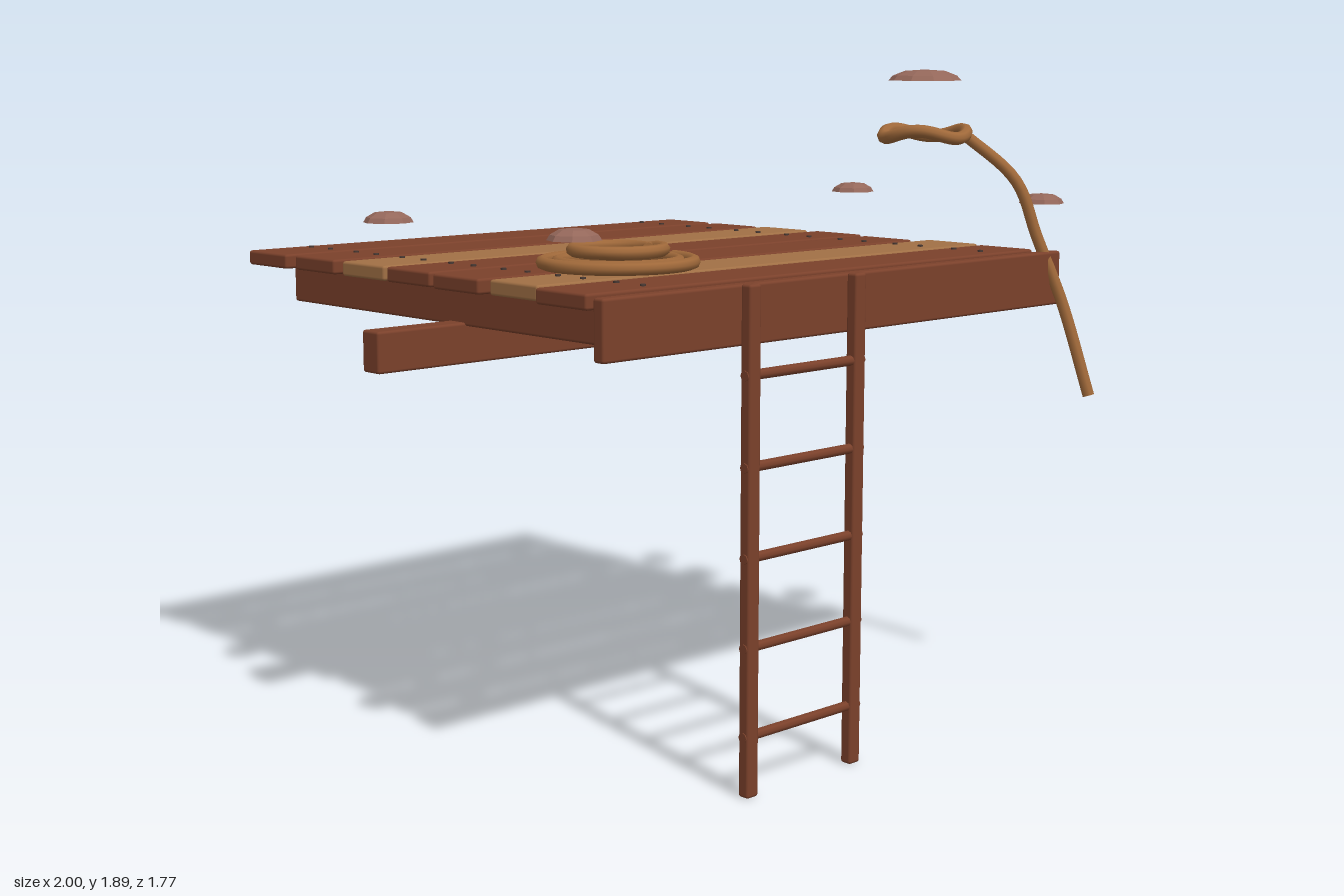
import * as THREE from 'three';
import { RoundedBoxGeometry } from 'three/addons/geometries/RoundedBoxGeometry.js';

const darkWood = new THREE.MeshStandardMaterial({ name: 'dark wood', color: 0x7b412b });
const paleWood = new THREE.MeshStandardMaterial({ name: 'pale wood', color: 0xa17045 });
const ropeMat = new THREE.MeshStandardMaterial({ name: 'rope', color: 0xa0693a });
const nailMat = new THREE.MeshStandardMaterial({ name: 'nail iron', color: 0x4a3a34 });
const capMat = new THREE.MeshStandardMaterial({
  name: 'cap clay', color: 0x94675a, flatShading: true, side: THREE.DoubleSide,
});

export function createModel() {
  const model = new THREE.Group();
  model.name = 'ropePlatform';

  function add(parent, name, geometry, material, x = 0, y = 0, z = 0) {
    const mesh = new THREE.Mesh(geometry, material);
    mesh.name = name;
    mesh.position.set(x, y, z);
    parent.add(mesh);
    return mesh;
  }

  // Softly bevelled timber given by its extents
  function timber(parent, name, [x0, x1], [y0, y1], [z0, z1], material = darkWood) {
    const geometry = new RoundedBoxGeometry(x1 - x0, y1 - y0, z1 - z0, 2, 0.008);
    return add(parent, name, geometry, material, (x0 + x1) / 2, (y0 + y1) / 2, (z0 + z1) / 2);
  }

  // Deck planks: left end, right end, z centre at left, z centre at right, material
  const planks = [
    [-0.87, 0.86, -0.778, -0.78, darkWood],
    [-0.86, 0.855, -0.55, -0.545, darkWood],
    [-0.86, 0.87, -0.312, -0.328, paleWood],
    [-0.865, 0.87, -0.096, -0.09, darkWood],
    [-0.88, 0.84, 0.132, 0.146, darkWood],
    [-0.865, 0.88, 0.354, 0.376, paleWood],
    [-0.905, 0.855, 0.586, 0.602, darkWood],
  ];
  const nailGeometry = new THREE.CylinderGeometry(0.008, 0.008, 0.01, 8);
  for (const [x0, x1, zL, zR, material] of planks) {
    const z = (zL + zR) / 2;
    const plank = timber(model, 'deckPlank', [x0, x1], [1.318, 1.36], [z - 0.098, z + 0.098], material);
    plank.rotation.y = -Math.atan2(zR - zL, x1 - x0);
    for (const x of [-0.68, 0.675])
      for (const dz of [-0.05, 0.05]) add(model, 'nail', nailGeometry, nailMat, x, 1.36, z + dz);
  }

  // Supporting frame
  for (const x of [-0.66, 0.65])
    timber(model, 'deckBeam', [x - 0.046, x + 0.046], [1.195, 1.315], [-0.885, 0.71]);
  timber(model, 'crossBeam', [-1, 1], [1.09, 1.205], [-0.123, -0.05]);
  timber(model, 'frontBoard', [-0.915, 0.915], [1.195, 1.355], [0.718, 0.757]);

  // Ladder
  const ladder = new THREE.Group();
  ladder.name = 'ladder';
  model.add(ladder);
  for (const x of [-0.445, -0.043])
    timber(ladder, 'ladderRail', [x - 0.021, x + 0.021], [0, 1.36], [0.778, 0.814]);
  for (let i = 0; i < 5; i++) {
    const rung = add(ladder, 'ladderRung', new THREE.CylinderGeometry(0.014, 0.014, 0.45, 8),
      darkWood, -0.244, 0.165 + i * 0.24, 0.796);
    rung.rotation.z = Math.PI / 2;
  }

  // Rope tube with closed ends
  function rope(parent, name, points, segments, radius, closed = false) {
    const curve = new THREE.CatmullRomCurve3(points, closed, 'centripetal');
    add(parent, name, new THREE.TubeGeometry(curve, segments, radius, 8, closed), ropeMat);
    if (closed) return;
    for (const t of [0, 1]) {
      const end = add(parent, name + 'End', new THREE.CircleGeometry(radius, 8), ropeMat);
      end.position.copy(curve.getPoint(t));
      end.lookAt(end.position.clone().addScaledVector(curve.getTangent(t), t ? 1 : -1));
    }
  }

  // Coil: two turns on the deck, then the inner turn on top of them
  const coil = [];
  for (let i = 0; i <= 75; i++) {
    const turns = i / 24;
    const a = turns * Math.PI * 2;
    const r = 0.221 - 0.041 * turns;
    const lift = THREE.MathUtils.smoothstep(turns, 1.85, 2.05);
    coil.push(new THREE.Vector3(
      -0.447 + r * Math.cos(a), 1.38 + 0.034 * lift, 0.278 + r * Math.sin(a)));
  }
  rope(model, 'ropeCoil', coil, 200, 0.018);

  // Wavy noose and its hanging tail
  const loop = [];
  for (let i = 0; i < 36; i++) {
    const a = (i / 36) * Math.PI * 2;
    loop.push(new THREE.Vector3(
      0.595 + 0.121 * Math.sin(a), 1.704 - 0.011 * Math.cos(3 * a), 0.49 + 0.121 * Math.cos(a)));
  }
  rope(model, 'ropeLoop', loop, 72, 0.019, true);
  rope(model, 'ropeTail', [
    [0.71, 1.71, 0.53], [0.8, 1.565, 0.672], [0.845, 1.4, 0.72],
    [0.893, 1.2, 0.785], [0.917, 0.93, 0.872],
  ].map((p) => new THREE.Vector3(...p)), 32, 0.018);

  // Shallow faceted caps
  function cap(x, y, z, r, h, sides) {
    const profile = [[r, 0], [r * 0.88, h * 0.45], [r * 0.55, h * 0.88], [0, h]];
    const geometry = new THREE.LatheGeometry(profile.map((p) => new THREE.Vector2(...p)), sides);
    add(model, 'floatingCap', geometry, capMat, x, y, z);
  }
  for (const x of [-0.93, 0.93])
    for (const z of [-0.088, 0.67]) cap(x, 1.492, z, 0.068, 0.03, 8);
  cap(0.597, 1.859, 0.485, 0.107, 0.032, 10);

  return model;
}
